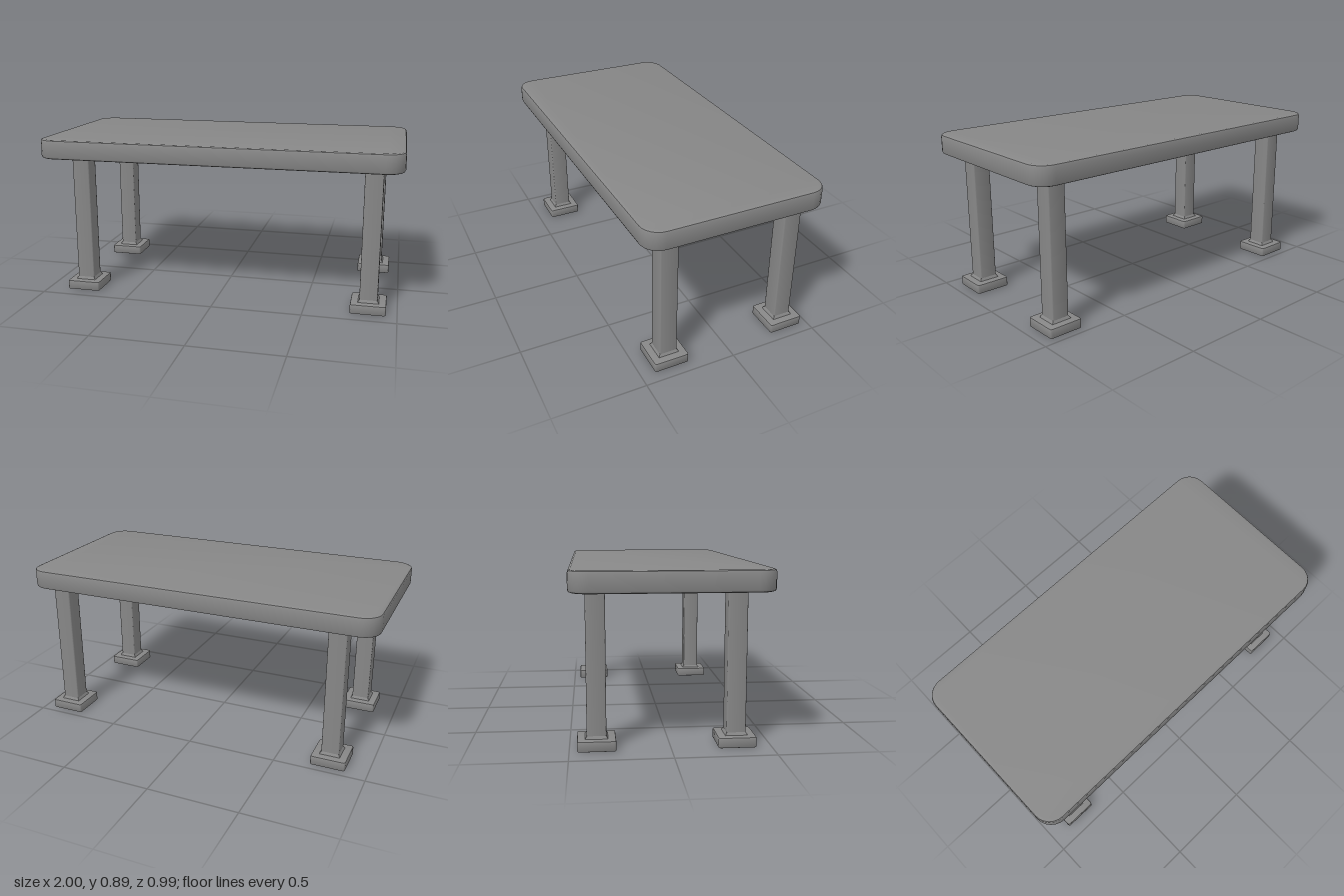
import * as THREE from 'three';
import { toCreasedNormals } from 'three/addons/utils/BufferGeometryUtils.js';

const material = new THREE.MeshStandardMaterial({ color: 0x878787 });

// Upright block with rounded vertical corners and softened top and bottom edges
function roundedSlab(width, depth, y0, y1, radius, bevel) {
  const x = width / 2 - bevel, z = depth / 2 - bevel, r = radius - bevel;
  const shape = new THREE.Shape();
  shape.absarc(x - r, z - r, r, 0, Math.PI / 2);
  shape.absarc(-x + r, z - r, r, Math.PI / 2, Math.PI);
  shape.absarc(-x + r, -z + r, r, Math.PI, Math.PI * 1.5);
  shape.absarc(x - r, -z + r, r, Math.PI * 1.5, Math.PI * 2);
  shape.closePath();
  const geometry = new THREE.ExtrudeGeometry(shape, {
    depth: y1 - y0 - 2 * bevel,
    bevelEnabled: bevel > 0,
    bevelThickness: bevel,
    bevelSize: bevel,
    bevelSegments: 2,
    curveSegments: 3,
  });
  geometry.rotateX(-Math.PI / 2).translate(0, y0 + bevel, 0);
  return toCreasedNormals(geometry, 0.6);
}

// Square flared collar where the post meets the foot
function collarGeometry(bottom, top, y0, y1) {
  const geometry = new THREE.CylinderGeometry(top * Math.SQRT1_2, bottom * Math.SQRT1_2, y1 - y0, 4);
  geometry.rotateY(Math.PI / 4).translate(0, (y0 + y1) / 2, 0);
  return toCreasedNormals(geometry, 0.6);
}

function part(name, geometry) {
  const mesh = new THREE.Mesh(geometry, material);
  mesh.name = name;
  return mesh;
}

export function createModel() {
  const table = new THREE.Group();
  table.name = 'table';

  table.add(part('tableTop', roundedSlab(2, 0.988, 0.781, 0.888, 0.1, 0.014)));

  // Four legs, each a post on a square foot
  const post = roundedSlab(0.097, 0.097, 0.05, 0.784, 0.006, 0);
  const collar = collarGeometry(0.116, 0.096, 0.05, 0.068);
  const foot = roundedSlab(0.191, 0.191, 0, 0.053, 0.012, 0.006);
  for (const [side, x] of [['Right', -0.787], ['Left', 0.845]]) {
    for (const [end, z] of [['front', 0.328], ['back', -0.366]]) {
      const leg = new THREE.Group();
      leg.name = `${end}${side}Leg`;
      leg.add(part('post', post), part('collar', collar), part('foot', foot));
      leg.position.set(x, 0, z);
      table.add(leg);
    }
  }
  return table;
}
